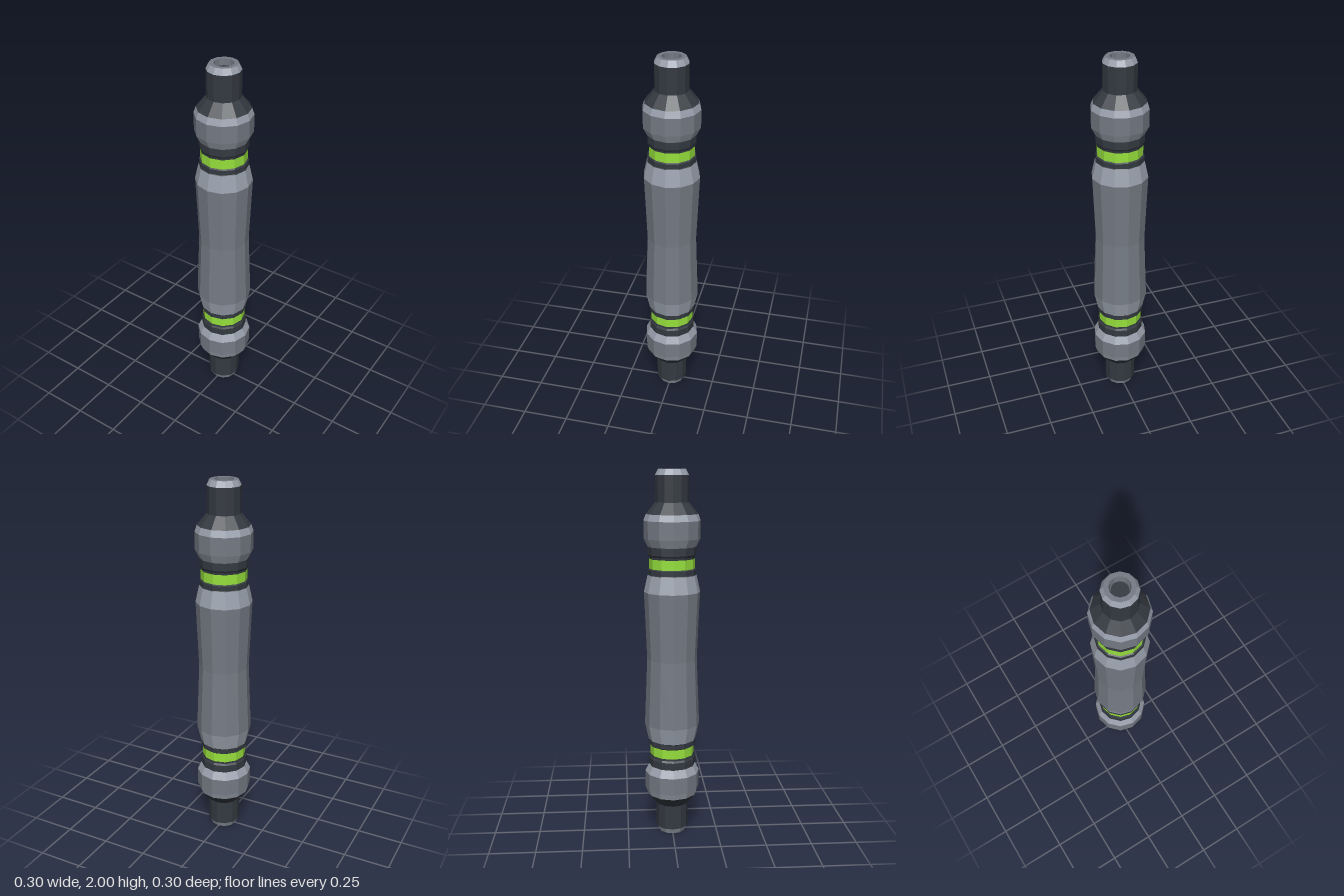
import * as THREE from 'three';

const SIDES = 12;

export function createModel() {
  const model = new THREE.Group();
  model.name = 'handle';

  const material = (name, color) => {
    const m = new THREE.MeshStandardMaterial({ color, flatShading: true });
    m.name = name;
    return m;
  };
  const steel = material('steel grey', 0x757b85);
  const pale = material('pale steel', 0x989fab);
  const dark = material('dark grey', 0x343a41);
  const green = material('lime green', 0x96e03c);

  // Turned part from [radius, height] pairs; rising order faces outward
  const turn = (name, mat, profile) => {
    const points = profile.map(([r, y]) => new THREE.Vector2(r, y));
    const mesh = new THREE.Mesh(new THREE.LatheGeometry(points, SIDES), mat);
    mesh.name = name;
    model.add(mesh);
  };

  // Turned part at the top, repeated upside down at the bottom
  const turnPair = (name, mat, profile) => {
    turn('upper' + name, mat, profile);
    turn('lower' + name, mat, profile.map(([r, y]) => [r, 2 - y]).reverse());
  };

  // Waisted centre grip with pale tapers at both ends
  turn('grip', steel, [[0.15, 0.635], [0.135, 1], [0.15, 1.365]]);
  turnPair('GripTaper', pale, [[0.15, 1.365], [0.13, 1.455]]);

  // Neck bands on either side of the coloured ring
  turnPair('InnerBand', dark, [[0.13, 1.455], [0.128, 1.458], [0.128, 1.484], [0.121, 1.489]]);
  turnPair('ColourRing', green, [[0.121, 1.489], [0.121, 1.541]]);
  turnPair('OuterBand', dark, [[0.121, 1.541], [0.122, 1.552], [0.128, 1.562], [0.128, 1.603]]);

  // Bulging collar with pale bevels, and the shoulder narrowing to the end
  turnPair('CollarTaper', pale, [[0.128, 1.603], [0.15, 1.645]]);
  turnPair('Collar', steel, [[0.15, 1.645], [0.15, 1.738]]);
  turnPair('CollarBevel', pale, [[0.15, 1.738], [0.138, 1.772]]);
  turnPair('Shoulder', dark, [[0.138, 1.772], [0.088, 1.832]]);
  turnPair('End', dark, [[0.088, 1.832], [0.088, 1.97]]);

  // Bevelled tip with an open rim
  turnPair('TipBevel', pale, [[0.088, 1.97], [0.073, 2]]);
  turnPair('TipRim', steel, [[0.073, 2], [0.05, 2]]);

  // Bore wall faces inward, with a separate rod inside it
  turn('bore', steel, [[0.05, 2], [0.05, 0]]);
  turn('core', dark, [[0, 0.03], [0.041, 0.03], [0.041, 1.97], [0, 1.97]]);

  return model;
}
